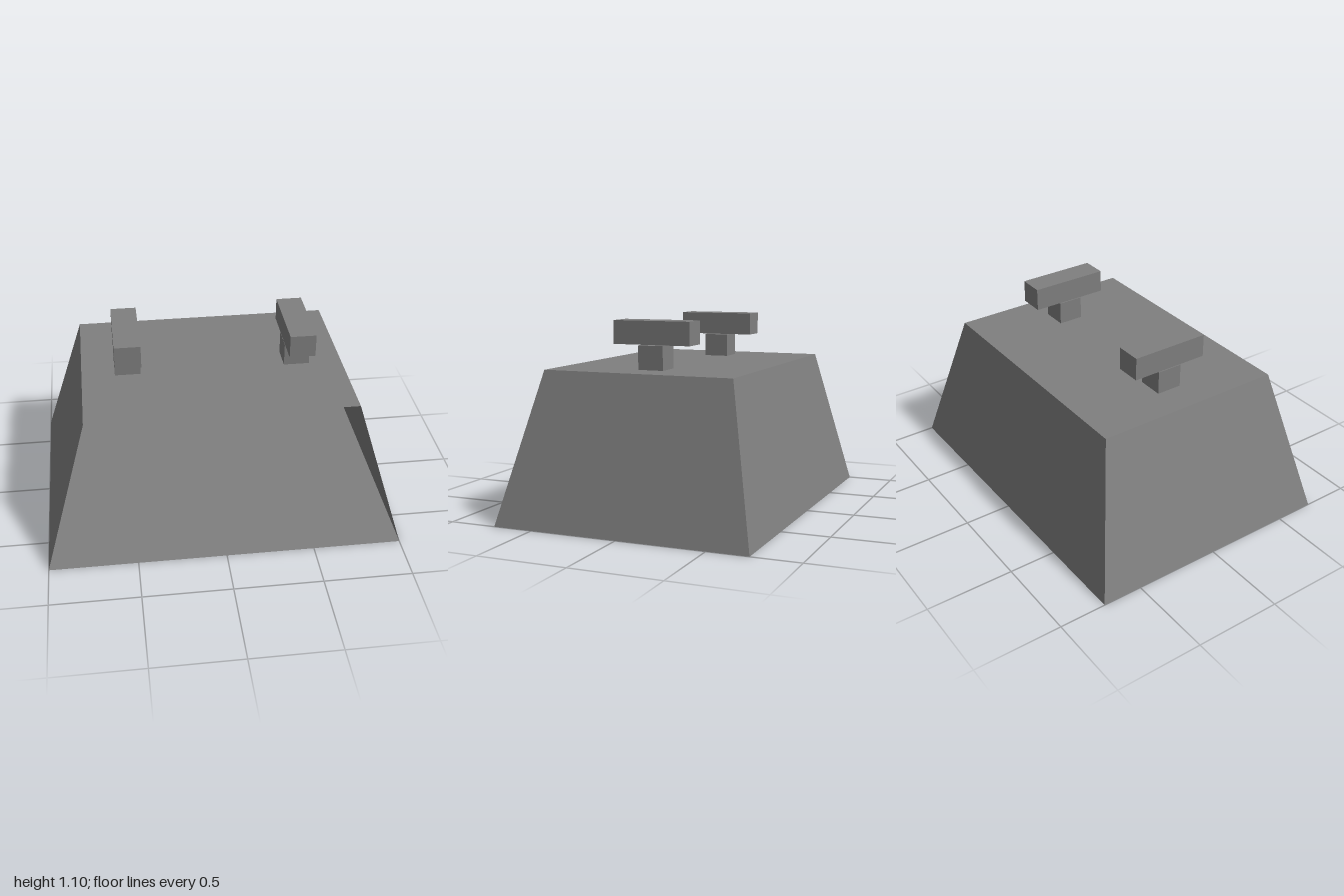
import * as THREE from 'three';

export function createModel() {
  const model = new THREE.Group();
  const grey = new THREE.MeshStandardMaterial({ color: 0x7f7f7f, side: THREE.DoubleSide });
  grey.name = 'grey';

  // Tapered thin shell, open at the front
  const H = 0.835;
  const shell = new THREE.BoxGeometry(2, H, 1.46).translate(0, H / 2, 0);
  const p = shell.attributes.position;
  for (let i = 0; i < p.count; i++) {
    if (p.getY(i) > H / 2) p.setXYZ(i, p.getX(i) * 0.75, H, p.getZ(i) * 0.75);
  }
  // Box faces run +x, -x, +y, -y, +z, -z with six indices each: drop +z
  const index = Array.from(shell.index.array);
  index.splice(24, 6);
  shell.setIndex(index);
  shell.clearGroups();
  const open = shell.toNonIndexed();
  open.computeVertexNormals();
  const body = new THREE.Mesh(open, grey);
  body.name = 'taperedShell';
  model.add(body);

  // Two T-shaped handles on the top
  const addBox = (parent, name, w, d, y0, y1, z = 0) => {
    const mesh = new THREE.Mesh(new THREE.BoxGeometry(w, y1 - y0, d), grey);
    mesh.name = name;
    mesh.position.set(0, (y0 + y1) / 2, z);
    parent.add(mesh);
  };
  for (const [name, x, z] of [['rightHandle', -0.488, 0.001], ['leftHandle', 0.486, -0.004]]) {
    const handle = new THREE.Group();
    handle.name = name;
    handle.position.x = x;
    addBox(handle, 'handleStem', 0.146, 0.146, 0.822, 0.968);
    addBox(handle, 'handleBar', 0.146, 0.45, 0.972, 1.102, z);
    model.add(handle);
  }
  return model;
}
